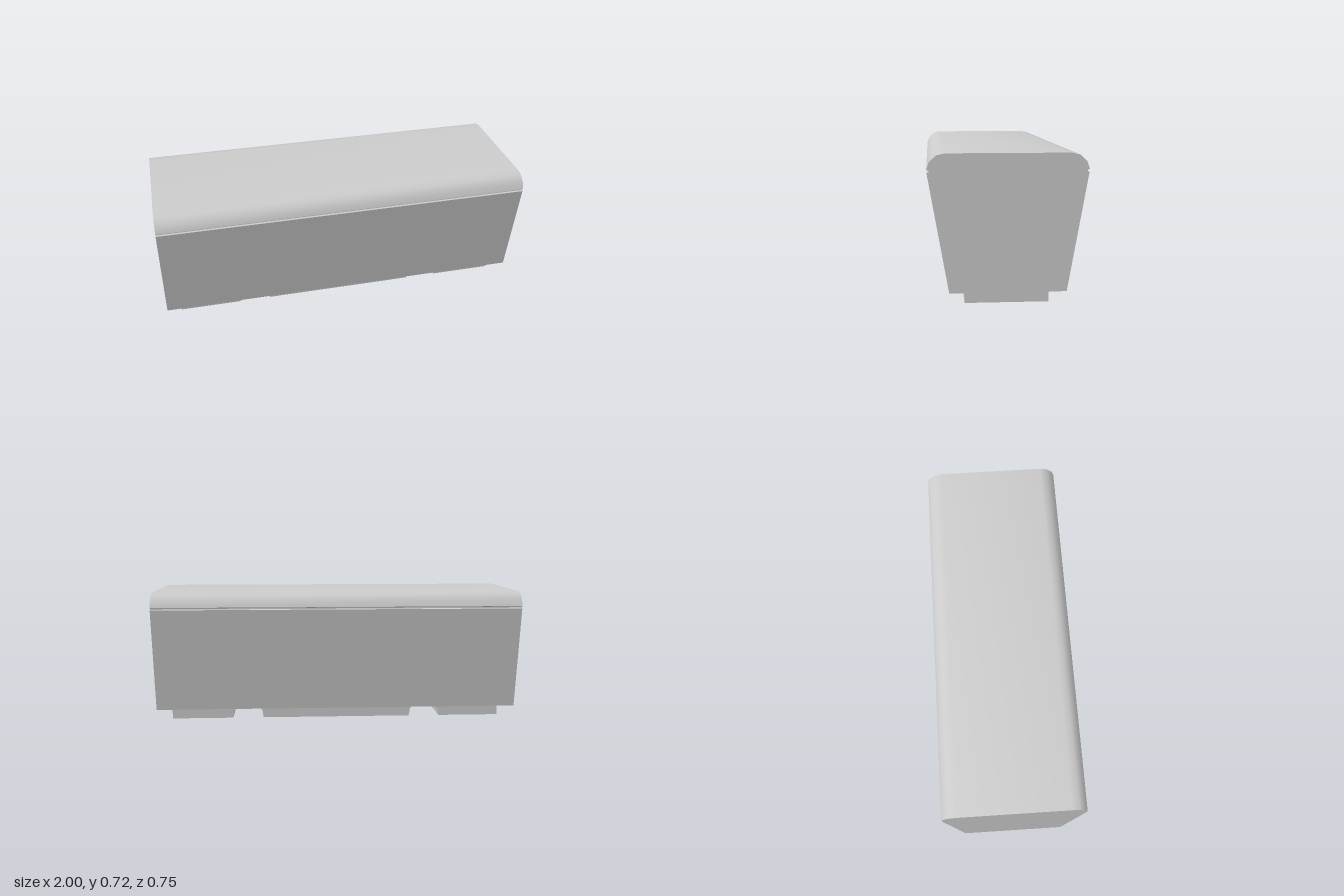
import * as THREE from 'three';
import { toCreasedNormals } from 'three/addons/utils/BufferGeometryUtils.js';

const material = new THREE.MeshStandardMaterial({ color: 0xcccccc });

function part(name, geometry) {
  const mesh = new THREE.Mesh(toCreasedNormals(geometry, 0.6), material);
  mesh.name = name;
  return mesh;
}

// Extrude a shape with its depth centred on z = 0
function extrude(shape, depth) {
  return new THREE.ExtrudeGeometry(shape, { depth, bevelEnabled: false, curveSegments: 4 })
    .translate(0, 0, -depth / 2);
}

export function createModel() {
  const model = new THREE.Group();
  model.name = 'bench';

  // Tapered body: half cross-section (z, y) with a thin groove and rounded top edge
  const half = [
    [0.275, 0.068], [0.374, 0.63], [0.365, 0.633], [0.365, 0.639],
    [0.375, 0.643], [0.362, 0.68], [0.33, 0.709], [0.29, 0.718],
  ];
  const mirrored = half.map(([z, y]) => [-z, y]).reverse();
  const section = new THREE.Shape([...half, ...mirrored].map(([z, y]) => new THREE.Vector2(z, y)));
  model.add(part('body', extrude(section, 2).rotateY(-Math.PI / 2)));

  // Plinth outline with two rounded fork slots along the bottom
  const top = 0.068, slotTop = 0.053, r = 0.02;
  const outline = new THREE.Shape();
  outline.moveTo(-0.924, 0);
  for (const c of [-0.5, 0.5]) {
    outline.lineTo(c - 0.086, 0);
    outline.lineTo(c - 0.081, slotTop - r);
    outline.quadraticCurveTo(c - 0.079, slotTop, c - 0.079 + r, slotTop);
    outline.lineTo(c + 0.079 - r, slotTop);
    outline.quadraticCurveTo(c + 0.079, slotTop, c + 0.081, slotTop - r);
    outline.lineTo(c + 0.086, 0);
  }
  outline.lineTo(0.924, 0);
  outline.lineTo(0.924, top);
  outline.lineTo(-0.924, top);
  outline.closePath();
  const plinth = extrude(outline, 0.4);

  // Flare the plinth slightly towards the body
  const p = plinth.attributes.position;
  for (let i = 0; i < p.count; i++) p.setZ(i, p.getZ(i) * (1 + 0.015 * p.getY(i) / top));
  model.add(part('plinth', plinth));

  return model;
}
